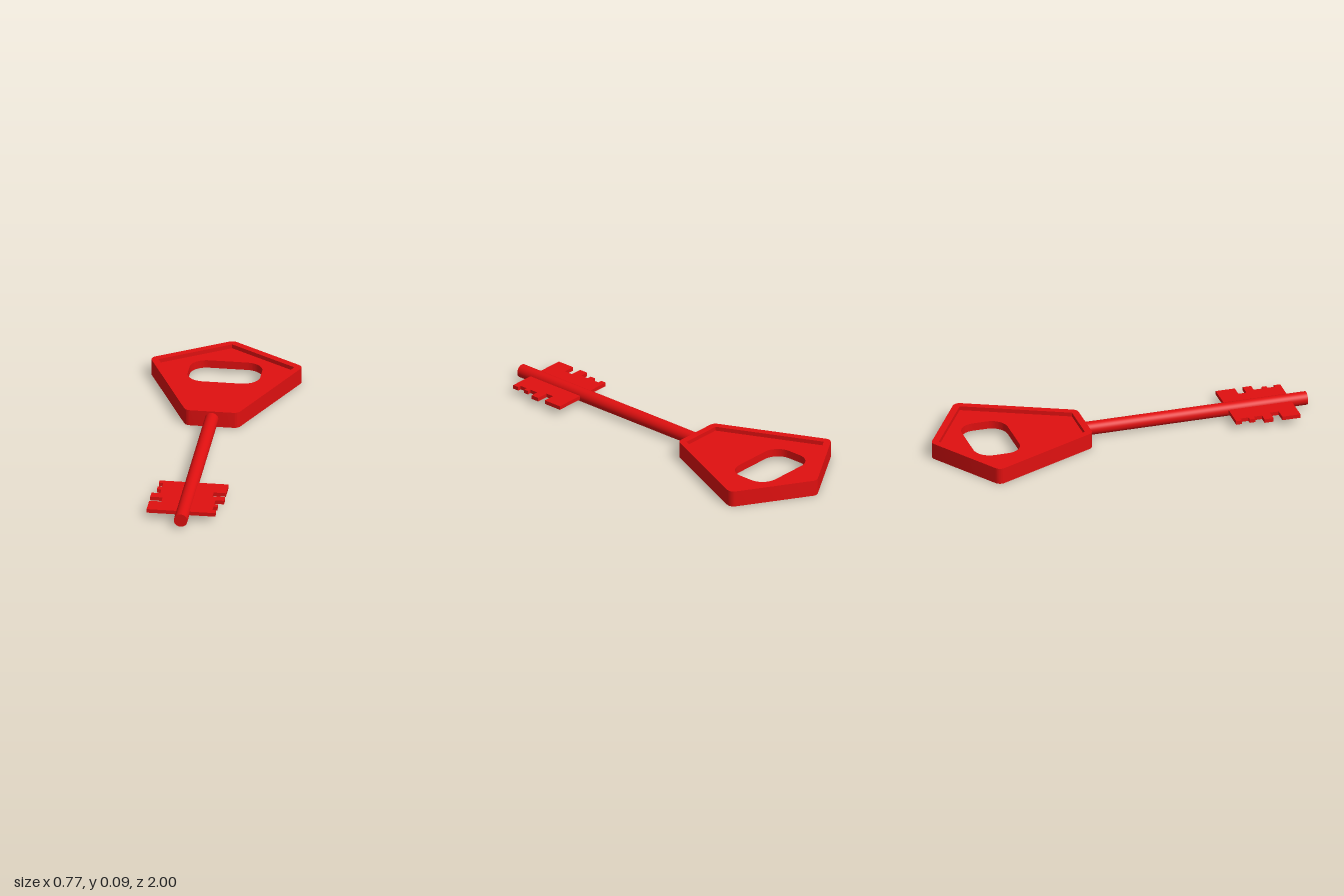
import * as THREE from 'three';
import { toCreasedNormals } from 'three/addons/utils/BufferGeometryUtils.js';

const RED = new THREE.MeshStandardMaterial({ color: 0xe01010 });
const MID_Y = 0.044;   // height of the shaft axis
const BOW_H = 0.086;   // thickness of the handle rim
const RIM = 0.036;     // width of the handle rim

// Handle recess outline, counter-clockwise, in (x, -z)
const PENTAGON = [[0, 0.964], [-0.35, 0.745], [-0.112, 0.218], [0.112, 0.218], [0.35, 0.745]]
  .map(([x, y]) => new THREE.Vector2(x, y));

// Lay a shape drawn in (x, -z) flat and extrude it upward around the shaft axis
function slab(name, shape, height) {
  const geo = new THREE.ExtrudeGeometry(shape, { depth: height, bevelEnabled: false, curveSegments: 10 });
  geo.translate(0, 0, -height / 2).rotateX(-Math.PI / 2);
  const mesh = new THREE.Mesh(toCreasedNormals(geo, 0.6), RED);
  mesh.name = name;
  mesh.position.y = MID_Y;
  return mesh;
}

// Offset a convex polygon outward with round corners
function roundedOffset(points, r) {
  const n = points.length;
  const normalAngle = (a, b) => Math.atan2(a.x - b.x, b.y - a.y);
  const shape = new THREE.Shape();
  points.forEach((p, i) => {
    const a0 = normalAngle(points[(i + n - 1) % n], p);
    const a1 = normalAngle(p, points[(i + 1) % n]);
    shape.absarc(p.x, p.y, r, a0, a1, false);
  });
  shape.closePath();
  return shape;
}

// Rectangle with elliptical corners for the finger opening
function opening(w, y0, y1, rx, ry) {
  const p = new THREE.Path();
  const q = Math.PI / 2;
  [[1, y1 - ry, 0], [-1, y1 - ry, 1], [-1, y0 + ry, 2], [1, y0 + ry, 3]].forEach(([s, y, k]) =>
    p.absellipse(s * (w - rx), y, rx, ry, k * q, (k + 1) * q, false));
  p.closePath();
  return p;
}

// Bit outline: steps of [x, z start, z end] down each side
function bitShape() {
  const right = [[0.19, 0.575, 0.677], [0.127, 0.677, 0.72], [0.192, 0.72, 0.765], [0.148, 0.765, 0.812],
    [0.167, 0.812, 0.838], [0.148, 0.838, 0.878], [0.167, 0.878, 0.912]];
  const left = [[-0.166, 0.575, 0.605], [-0.143, 0.605, 0.647], [-0.166, 0.647, 0.677], [-0.143, 0.677, 0.72],
    [-0.188, 0.72, 0.768], [-0.124, 0.768, 0.815], [-0.187, 0.815, 0.912]];
  const steps = (side) => side.flatMap(([x, a, b]) => [new THREE.Vector2(x, -a), new THREE.Vector2(x, -b)]);
  return new THREE.Shape([...steps(right), ...steps(left).reverse()]);
}

export function createModel() {
  const key = new THREE.Group();
  key.name = 'key';

  // Handle: raised rim around a thinner panel recessed on both faces
  const handle = new THREE.Group();
  handle.name = 'handle';
  const rimShape = roundedOffset(PENTAGON, RIM);
  rimShape.holes.push(new THREE.Path(PENTAGON));
  handle.add(slab('handleRim', rimShape, BOW_H - 0.0005));

  const panelShape = new THREE.Shape(PENTAGON);
  panelShape.holes.push(opening(0.187, 0.565, 0.81, 0.088, 0.085));
  handle.add(slab('handlePanel', panelShape, 0.042));
  key.add(handle);

  // Round shaft from the handle rim to the tip
  const z0 = -0.2, z1 = 1;
  const shaft = new THREE.Mesh(new THREE.CylinderGeometry(0.035, 0.035, z1 - z0, 40).rotateX(Math.PI / 2), RED);
  shaft.name = 'shaft';
  shaft.position.set(0, MID_Y, (z0 + z1) / 2);
  key.add(shaft);

  // Toothed bit plate on both sides of the shaft
  key.add(slab('bit', bitShape(), 0.02));

  return key;
}
